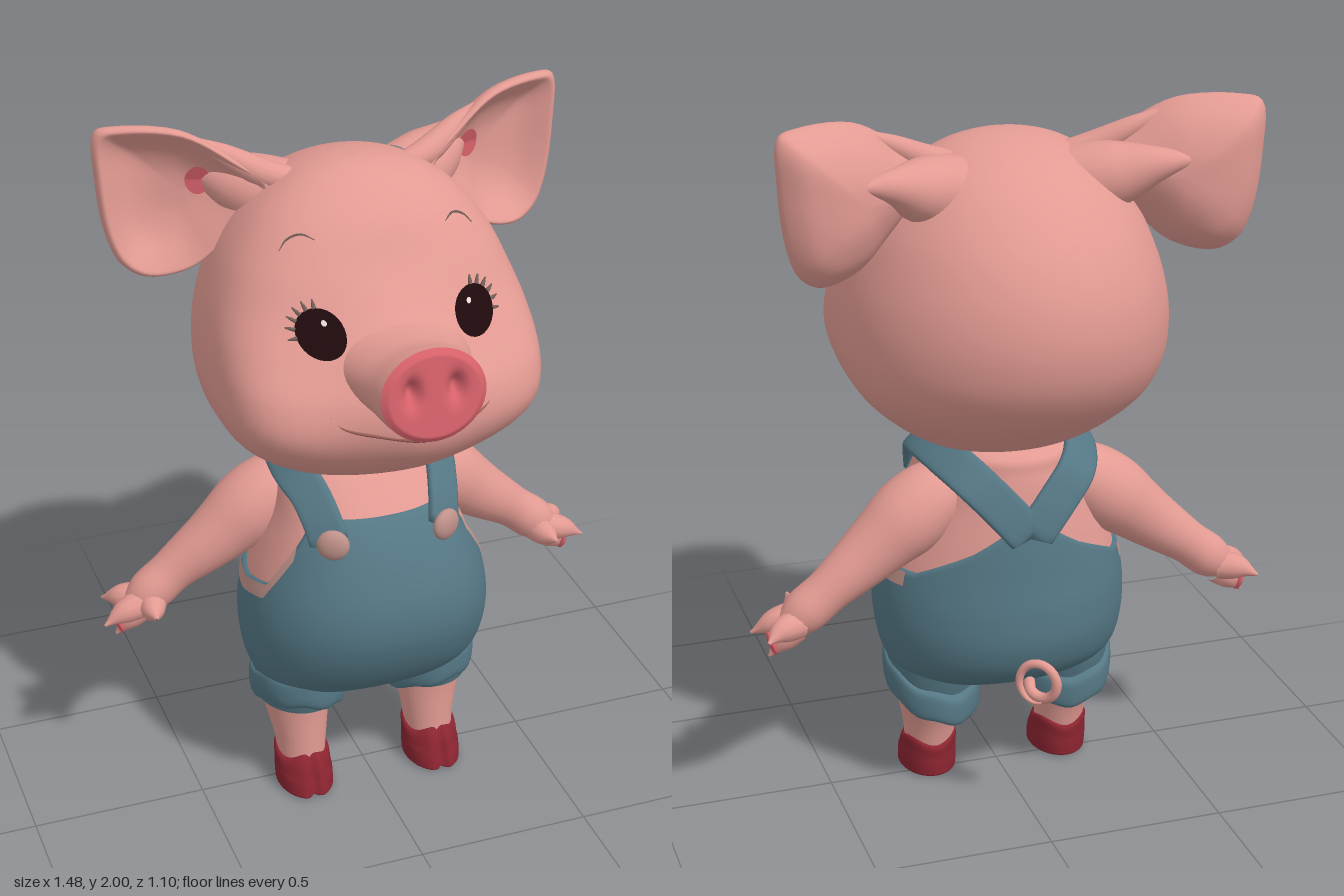
import * as THREE from 'three';
import { mergeVertices } from 'three/addons/utils/BufferGeometryUtils.js';

const V = (x, y, z) => new THREE.Vector3(x, y, z);
const TAU = Math.PI * 2;
const lerp = THREE.MathUtils.lerp;

// Smooth surface from a point rule f(u, v); faces point along du x dv.
function grid(f, nu, nv) {
  const pos = [], idx = [];
  for (let j = 0; j <= nv; j++)
    for (let i = 0; i <= nu; i++) pos.push(...f(i / nu, j / nv).toArray());
  for (let j = 0; j < nv; j++)
    for (let i = 0; i < nu; i++) {
      const a = j * (nu + 1) + i, d = a + nu + 1;
      idx.push(a, a + 1, d + 1, a, d + 1, d);
    }
  const g = new THREE.BufferGeometry();
  g.setAttribute('position', new THREE.Float32BufferAttribute(pos, 3));
  g.setIndex(idx);
  const m = mergeVertices(g, 1e-5);
  m.computeVertexNormals();
  return m;
}

// Catmull-Rom through table rows, t in 0..1.
function spline(rows, t) {
  const n = rows.length - 1, k = Math.min(Math.floor(t * n), n - 1), f = t * n - k;
  const r = i => rows[Math.max(0, Math.min(n, i))];
  return r(k).map((b, c) => {
    const a = r(k - 1)[c], d = r(k + 1)[c], e = r(k + 2)[c];
    return b + 0.5 * f * (d - a + f * (2 * a - 5 * b + 4 * d - e + f * (3 * (b - d) + e - a)));
  });
}
function atHeight(rows, y) {
  let lo = 0, hi = 1;
  for (let i = 0; i < 30; i++) {
    const m = (lo + hi) / 2;
    if (spline(rows, m)[0] < y) lo = m; else hi = m;
  }
  return spline(rows, lo);
}

// Row: y, half width, front z, back z, muzzle bulge, squareness of the front.
const HEAD = [
  [1.03, 0, -.05, -.05, 0, 2], [1.045, .17, .08, -.18, 0, 2.2], [1.1, .285, .205, -.3, .01, 2.5],
  [1.2, .395, .33, -.43, .055, 3.2], [1.3, .438, .38, -.508, .1, 4.2], [1.4, .446, .365, -.54, .125, 4.2],
  [1.5, .434, .305, -.541, .1, 3.7], [1.6, .403, .252, -.515, .05, 3], [1.7, .357, .214, -.46, .005, 2.5],
  [1.8, .28, .155, -.368, 0, 2.2], [1.87, .185, .08, -.248, 0, 2], [1.903, .09, .01, -.14, 0, 2],
  [1.912, 0, -.05, -.05, 0, 2]];
const BODY = [
  [.295, 0, -.02, -.02, 0, 2.3], [.305, .18, .05, -.1, 0, 2.3], [.345, .285, .14, -.195, 0, 2.3],
  [.41, .335, .22, -.288, 0, 2.3], [.5, .355, .28, -.33, 0, 2.3], [.6, .357, .315, -.335, 0, 2.3],
  [.7, .34, .315, -.325, 0, 2.3], [.8, .305, .285, -.315, 0, 2.3], [.9, .265, .235, -.3, 0, 2.3],
  [1, .235, .15, -.285, 0, 2.3], [1.06, .2, .08, -.25, 0, 2.3], [1.09, 0, -.02, -.02, 0, 2.3]];
const bulge = (m, x, nz) => m * Math.exp(-((x / .17) ** 2)) * Math.max(0, nz);

// Point on a cross-section; angle 0 is the front.
function ring([y, w, zf, zb, m, n], a, zc, k = 1) {
  const s = Math.sin(a), c = Math.cos(a), e = c > 0 ? n : 2;
  const r = 1 / (Math.abs(s) ** e + Math.abs(c) ** e) ** (1 / e);
  const x = w * r * s * k, nz = r * c;
  return V(x, y, zc + nz * (c > 0 ? zf - zc : zc - zb) * k + bulge(m, x, nz));
}
function faceZ(x, y) {
  const [, w, zf, , m, n] = atHeight(HEAD, y);
  const nz = Math.max(0, 1 - Math.abs(x / w) ** n) ** (1 / n);
  return -.05 + nz * (zf + .05) + bulge(m, x, nz);
}
const onFace = (x, y, off = .002) => V(x, y, faceZ(x, y) + off);
// Thin oval plate facing forward, with its depth given by a rule.
const oval = (cx, cy, rx, ry, depth) => grid((u, v) => {
  const x = cx + rx * (1 - v) * Math.cos(u * TAU), y = cy + ry * (1 - v) * Math.sin(u * TAU);
  return V(x, y, depth(x, y));
}, 28, 6);

// Upright loft; row: y, centre x, half x, centre z, half z.
const loft = (rows, nv, rule = p => p) => grid((u, v) => {
  const [y, cx, rx, cz, rz] = spline(rows, v), a = u * TAU;
  return rule(V(cx + rx * Math.sin(a), y, cz + rz * Math.cos(a)), a);
}, 40, nv);

// Tapered limb along a curve; radii are spread evenly along it.
function limb(pts, radii, nv = 16, nu = 14) {
  const c = new THREE.CatmullRomCurve3(pts), fr = c.computeFrenetFrames(nv);
  return grid((u, v) => {
    const r = spline(radii.map(q => [q]), v)[0], i = Math.round(v * nv);
    return c.getPointAt(v).addScaledVector(fr.normals[i], r * Math.cos(u * TAU))
      .addScaledVector(fr.binormals[i], r * Math.sin(u * TAU));
  }, nu, nv);
}
// Flat strap that lies on the torso.
function strap(pts, half, thick) {
  const c = new THREE.CatmullRomCurve3(pts), mid = V(0, .8, -.08);
  const box = q => Math.sign(q) * Math.abs(q) ** .5;
  return grid((u, v) => {
    const p = c.getPointAt(v), t = c.getTangentAt(v), n = p.clone().sub(mid);
    n.addScaledVector(t, -n.dot(t)).normalize();
    const b = t.clone().cross(n), end = v === 0 || v === 1 ? 0 : 1;
    return p.addScaledVector(n, end * thick * box(Math.cos(u * TAU)))
      .addScaledVector(b, end * half * box(Math.sin(u * TAU)));
  }, 16, 40);
}

export function createModel() {
  const root = new THREE.Group();
  root.name = 'pigInOveralls';
  const mat = (name, color) => Object.assign(new THREE.MeshStandardMaterial({ color }), { name });
  const skin = mat('pinkSkin', 0xe39b93), denim = mat('blueDenim', 0x557885), red = mat('snoutRed', 0xd8626b);
  const hoofRed = mat('hoofRed', 0x8c2531), dark = mat('eyeDark', 0x1e0a0c), hair = mat('lashBrown', 0x75605a);
  const trim = mat('paleTrim', 0xc0928a), white = mat('eyeGlint', 0xe8dcd8), crease = mat('mouthBrown', 0x9c625b);
  const add = (name, g, m) => {
    const mesh = new THREE.Mesh(g, m);
    mesh.name = name;
    root.add(mesh);
  };
  // Adds a part on the left and its mirror image on the right.
  const pair = (name, g, m) => {
    add(name + 'Left', g, m);
    const r = g.clone().scale(-1, 1, 1), ix = r.index.array;
    for (let i = 0; i < ix.length; i += 3) [ix[i], ix[i + 1]] = [ix[i + 1], ix[i]];
    add(name + 'Right', r, m);
  };

  // Head and muzzle
  add('head', grid((u, v) => ring(spline(HEAD, v), u * TAU, -.05), 80, 64), skin);
  const snoutRows = [[.2, 1.47, .25, .14], [.31, 1.47, .19, .118], [.42, 1.475, .158, .11],
    [.5, 1.482, .148, .122], [.528, 1.486, .143, .125]];
  add('snout', grid((u, v) => {
    const [z, cy, rx, ry] = spline(snoutRows, v), y = ry * Math.sin(u * TAU);
    return V(rx * Math.cos(u * TAU), cy + y, z - .12 * v * y);
  }, 48, 20), skin);
  const dent = (x, y) => .035 * Math.exp(-(((Math.abs(x) - .06) / .022) ** 2) - ((y - .015) / .035) ** 2);
  add('snoutDisc', grid((u, v) => {
    const x = .143 * (1 - v) * Math.cos(u * TAU), y = .125 * (1 - v) * Math.sin(u * TAU);
    return V(x, 1.486 + y, .528 - .12 * y - dent(x, y) + .012 * Math.min(1, v * 8));
  }, 64, 32), red);
  const smile = [[-.225, 1.39], [-.2, 1.362], [-.12, 1.348], [0, 1.34], [.12, 1.348], [.2, 1.362], [.225, 1.39]];
  add('mouthCrease', limb(smile.map(p => onFace(...p, -.001)), [.001, .004, .005, .006, .005, .004, .001], 40, 8),
    crease);
  add('mouthOpening', limb([-.05, -.02, .02, .05].map(x => onFace(x, 1.348, 0)), [.002, .011, .011, .002], 12, 8),
    dark);

  // Eyes, lashes and brows
  pair('eye', oval(.212, 1.573, .061, .057, (x, y) => faceZ(x, y) + .007), dark);
  pair('eyeGlint', oval(.2, 1.598, .007, .007, (x, y) => faceZ(x, y) + .011), white);
  for (let i = 0; i < 6; i++) {
    const a = -.2 + i * .34, at = k => onFace(.212 + .061 * k * Math.cos(a), 1.573 + .057 * k * Math.sin(a), .005);
    pair('lash' + i, limb([at(.95), at(1.15), at(1.35)], [.006, .005, .002], 4, 6), hair);
  }
  pair('brow', limb([[.18, 1.775], [.21, 1.785], [.245, 1.77], [.268, 1.745]].map(p => onFace(...p, .001)),
    [.001, .003, .003, .001], 12, 6), hair);

  // Ears: dished shells swept from back centre over the rim to front centre
  const rim = new THREE.CatmullRomCurve3([[.22, 1.83], [.27, 1.75], [.35, 1.67], [.43, 1.6], [.54, 1.575],
    [.6, 1.61], [.635, 1.69], [.655, 1.85], [.65, 1.985], [.6, 2], [.44, 1.99], [.32, 1.92]]
    .map(([x, y]) => V(x, y, 0)), true);
  const earZ = x => -.11 - .36 * (x - .25);
  const earPoint = (u, r, dz) => {
    const p = V(.43, 1.8, 0).lerp(rim.getPoint(u % 1), r);
    return p.setZ(earZ(p.x) + dz);
  };
  const shell = [[0, -.13], [.25, -.126], [.5, -.11], [.75, -.08], [.95, -.03], [1, 0], [.95, .018], [.85, .002],
    [.6, -.045], [.3, -.07], [0, -.075]];
  pair('ear', grid((u, v) => earPoint(u, ...spline(shell, v)), 60, 40), skin);
  pair('earRoot', limb([V(.18, 1.78, -.16), V(.28, 1.81, -.215), V(.37, 1.84, -.268), V(.47, 1.85, -.295)],
    [.1, .085, .045, .008], 20, 24), skin);
  pair('earFold', limb([V(.1, 1.835, -.09), V(.22, 1.86, -.12), V(.33, 1.918, -.16), V(.43, 1.972, -.185)],
    [.025, .038, .028, .006], 20, 16), skin);
  pair('earSpot', oval(.387, 1.83, .031, .042, (x, y) => earZ(x) - .06 + .35 * Math.max(0, y - 1.83)), red);

  // Torso and overalls; the top edge follows the angle around the body
  add('torso', grid((u, v) => ring(spline(BODY, lerp(.4, 1, v)), u * TAU, -.02, .965), 60, 36), skin);
  const keys = [[0, .945], [48, .945], [58, .85], [70, .73], [90, .7], [120, .71], [150, .79], [181, .9]];
  const topEdge = a => {
    const d = Math.abs(THREE.MathUtils.euclideanModulo(a * 180 / Math.PI + 180, 360) - 180);
    const i = keys.findIndex(k => k[0] > d), [a0, y0] = keys[i - 1], [a1, y1] = keys[i];
    return lerp(y0, y1, (d - a0) / (a1 - a0));
  };
  add('overalls', grid((u, v) => {
    const a = u * TAU, y = lerp(.2951, topEdge(a), Math.min(1, v * 1.025) ** 1.3);
    return ring(atHeight(BODY, y), a, -.02, v === 1 ? .95 : 1);
  }, 120, 41), denim);
  pair('armholeTrim', grid((u, v) => {
    const a = lerp(.98, 2, u);
    return ring(atHeight(BODY, topEdge(a) - .04 * (1 - v)), a, -.02, 1.008);
  }, 30, 3), trim);
  pair('strap', strap([V(.165, .88, .205), V(.178, .95, .168), V(.195, 1.01, .105), V(.215, 1.04, .02),
    V(.2, 1.042, -.13), V(.15, 1.005, -.255), V(.08, .93, -.293), V(0, .835, -.312)], .056, .014), denim);
  const button = new THREE.SphereGeometry(.046, 24, 14).scale(1, 1, .5).rotateY(.45).translate(.165, .9, .222);
  pair('button', button, trim);

  // Legs, shorts, cuffs and hooves
  pair('leg', loft([[.1, .2, .07, .02, .078], [.16, .2, .077, .012, .085], [.26, .205, .094, -.005, .104],
    [.4, .215, .11, -.01, .125]], 14), skin);
  pair('shortsLeg', loft([[.29, .195, .122, -.01, .14], [.35, .195, .128, -.01, .158],
    [.42, .19, .135, -.01, .17], [.5, .18, .13, -.01, .17]], 12), denim);
  pair('cuff', loft([[.285, .2, .09, -.01, .1], [.267, .2, .12, -.01, .145], [.28, .2, .132, -.01, .166],
    [.32, .2, .136, -.01, .17], [.355, .2, .13, -.01, .165], [.36, .2, .11, -.01, .135]], 20, (p, a) => {
    p.y += .28 * (p.z + .01) + .2 * (p.x - .2) + .005 * Math.sin(7 * a);
    return p;
  }), denim);
  pair('hoof', loft([[0, .2, 0, .045, 0], [0, .2, .072, .048, .1], [.02, .2, .082, .045, .11],
    [.07, .2, .081, .035, .1], [.108, .2, .077, .022, .087], [.116, .2, .05, .02, .05]], 24, (p, a) => {
    p.z -= .022 * Math.max(0, Math.cos(a)) * Math.exp(-(((p.x - .2) / .012) ** 2));
    p.y += p.y > .06 ? .012 * Math.cos(3 * a) : 0;
    return p;
  }), hoofRed);

  // Arms and three-toed hands with thumbs
  pair('arm', limb([V(.12, .96, -.12), V(.22, .915, -.12), V(.31, .85, -.125), V(.41, .77, -.13),
    V(.51, .695, -.14), V(.59, .632, -.14), V(.64, .597, -.14), V(.69, .568, -.14)],
    [.06, .098, .108, .092, .077, .063, .06, .012], 32, 24), skin);
  const toe = (name, a, b, c, r) => pair(name, limb([a, b, c], [r, r * .8, .004], 10, 12), skin);
  toe('frontToe', V(.62, .61, -.12), V(.685, .592, -.11), V(.738, .567, -.1), .042);
  toe('backToe', V(.62, .605, -.16), V(.675, .6, -.19), V(.715, .585, -.222), .042);
  toe('lowerToe', V(.62, .585, -.14), V(.66, .55, -.14), V(.697, .508, -.14), .042);
  toe('thumb', V(.59, .61, -.13), V(.605, .612, -.06), V(.612, .622, .002), .042);
  const pad = new THREE.SphereGeometry(.034, 16, 10).scale(.3, 1, 1).rotateZ(-.3).translate(.688, .545, -.14);
  pair('toePad', pad, red);

  // Curly tail, coiled in a plane turned toward the back left
  const curl = [V(0, .4, -.3)];
  for (let i = 0; i <= 16; i++) {
    const a = -2.2 + i * .46, h = -.037 * Math.cos(a), drift = .03 * (i / 16 - .5);
    curl.push(V(h + drift, .432 + .056 * Math.sin(a), -.375 + h - drift));
  }
  add('tail', limb(curl, [.016, .015, .013, .011, .004], 60, 10), skin);
  return root;
}
